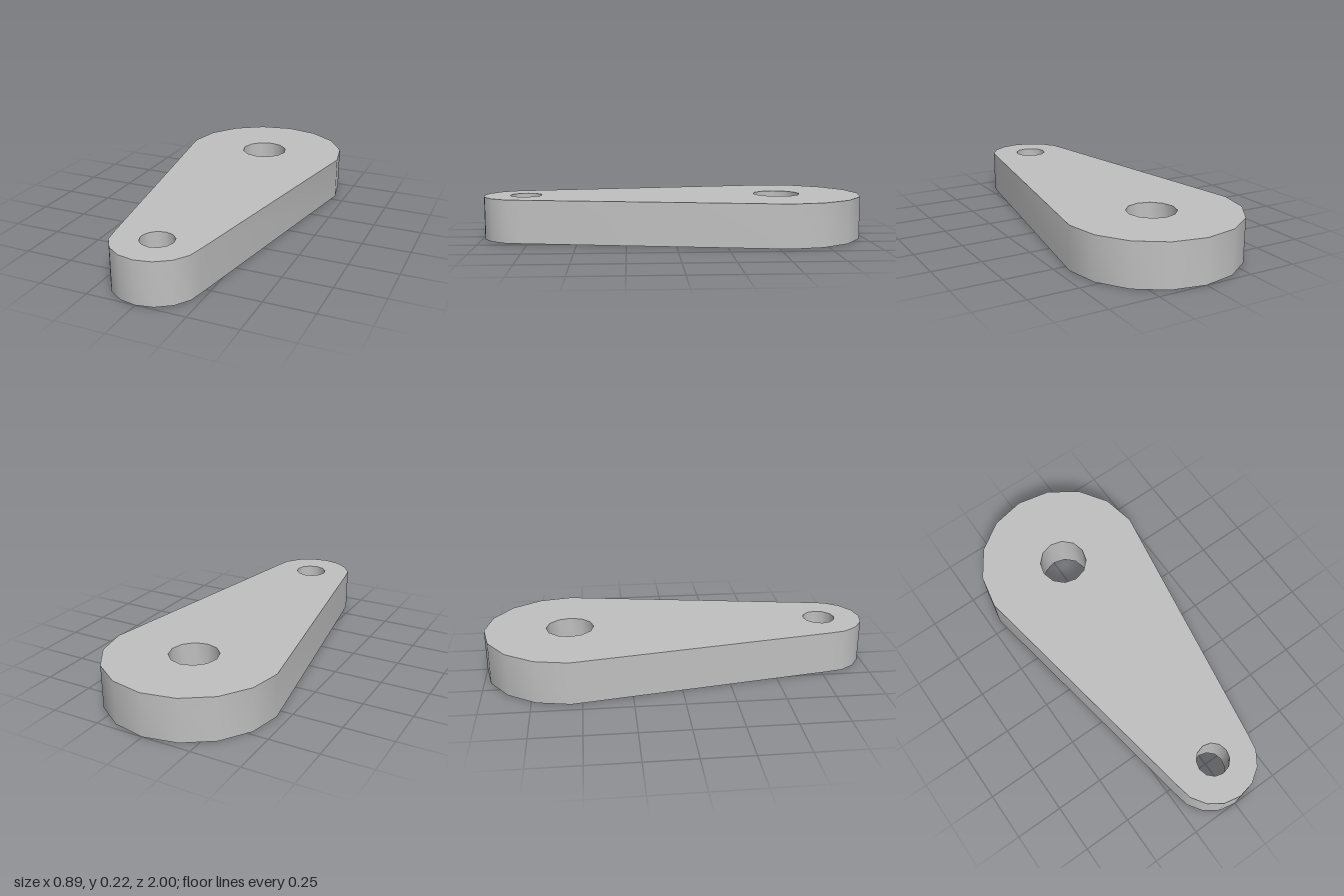
import * as THREE from 'three';
import { toCreasedNormals } from 'three/addons/utils/BufferGeometryUtils.js';

const HEIGHT = 0.222;
const BIG = { y: 0.556, radius: 0.444, hole: 0.124 };
const SMALL = { y: -0.778, radius: 0.222, hole: 0.084 };

// Points on an arc around (0, y), end point included
function arc(y, radius, start, sweep, steps) {
  return Array.from({ length: steps + 1 }, (_, i) => {
    const a = start + (sweep * i) / steps;
    return new THREE.Vector2(Math.cos(a) * radius, y + Math.sin(a) * radius);
  });
}

export function createModel() {
  const group = new THREE.Group();
  group.name = 'leverArm';

  const metal = new THREE.MeshStandardMaterial({ color: 0xc0c0c0 });
  metal.name = 'grey metal';

  // Tapered outline: large rounded end at the back, small one at the front
  const outline = new THREE.Shape([
    ...arc(BIG.y, BIG.radius, 0, Math.PI, 8),
    ...arc(SMALL.y, SMALL.radius, Math.PI, Math.PI, 8),
  ]);

  // One through hole in each end
  for (const end of [BIG, SMALL]) {
    const points = arc(end.y, end.hole, 0, Math.PI * 2, 12).slice(0, 12);
    outline.holes.push(new THREE.Path(points));
  }

  // Lay the plate flat, with smooth walls and sharp rims
  let geometry = new THREE.ExtrudeGeometry(outline, { depth: HEIGHT, bevelEnabled: false });
  geometry.rotateX(-Math.PI / 2);
  geometry = toCreasedNormals(geometry, 0.65);

  const plate = new THREE.Mesh(geometry, metal);
  plate.name = 'armPlate';
  group.add(plate);
  return group;
}
